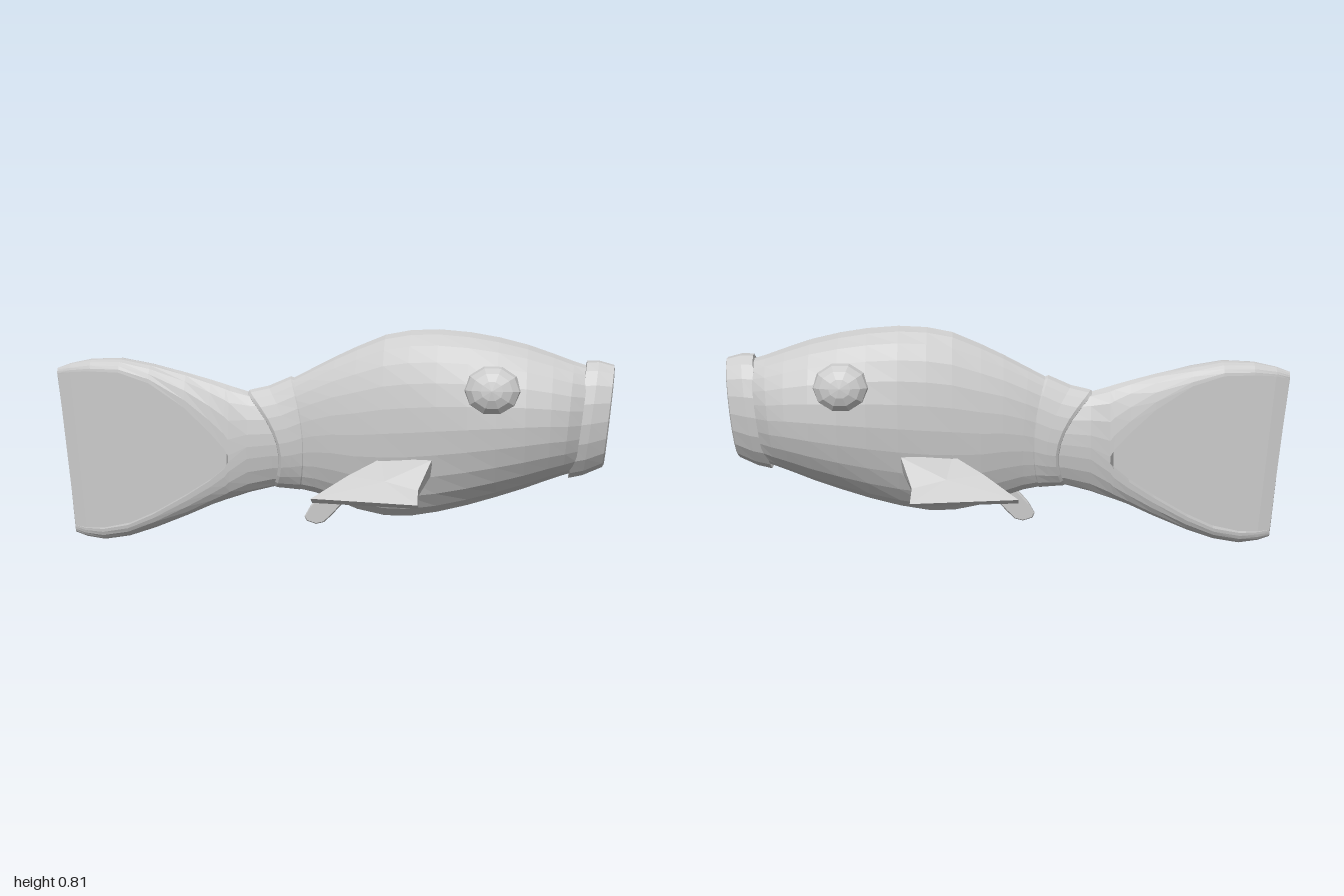
import * as THREE from 'three';

const material = new THREE.MeshStandardMaterial({ color: 0xcccccc, flatShading: true });

// Skins closed loops of [x, y, z] points and closes both ends.
function loft(name, loops) {
  const n = loops[0].length, pos = [], idx = [];
  loops.forEach((loop) => loop.forEach((p) => pos.push(...p)));
  for (let i = 0; i < loops.length - 1; i++) {
    for (let j = 0; j < n; j++) {
      const a = i * n + j, b = i * n + (j + 1) % n;
      idx.push(a, a + n, b, b, a + n, b + n);
    }
  }
  [0, loops.length - 1].forEach((row, end) => {
    const c = pos.length / 3;
    for (let k = 0; k < 3; k++) pos.push(loops[row].reduce((s, p) => s + p[k], 0) / n);
    for (let j = 0; j < n; j++) {
      const a = row * n + j, b = row * n + (j + 1) % n;
      idx.push(c, end ? b : a, end ? a : b);
    }
  });
  const geo = new THREE.BufferGeometry();
  geo.setAttribute('position', new THREE.Float32BufferAttribute(pos, 3));
  geo.setIndex(idx);
  geo.computeVertexNormals();
  const mesh = new THREE.Mesh(geo, material);
  mesh.name = name;
  return mesh;
}

// Upright oval between a top and a bottom point; bow pushes its sides forward.
function oval([xt, yt, xb, yb, w, bow = 0], sides = 24) {
  return Array.from({ length: sides }, (_, j) => {
    const a = (j / sides) * Math.PI * 2, s = Math.sin(a), c = Math.cos(a);
    return [(xt + xb) / 2 + s * (xt - xb) / 2 + bow * c * c, (yt + yb) / 2 + s * (yt - yb) / 2, w * c];
  });
}

// Linear lookup in rows of [key, value].
function lookup(rows, k) {
  if (k <= rows[0][0]) return rows[0][1];
  for (let i = 1; i < rows.length; i++) {
    const [k0, v0] = rows[i - 1], [k1, v1] = rows[i];
    if (k <= k1) return v0 + (v1 - v0) * (k - k0) / (k1 - k0);
  }
  return rows[rows.length - 1][1];
}

// Tail: stout rim around a thin sunken panel on each side, concave rear edge.
function makeTail() {
  const rearEdge = [[0.03, 0.05], [0.2, 0.065], [0.35, 0.07], [0.5, 0.05], [0.62, 0]];
  // x, top, panel top, panel bottom, bottom, half thickness, panel half thickness
  const rows = [
    [-1, 0.638, 0.615, 0.05, 0.022, 0.012, 0.011],
    [-0.95, 0.657, 0.627, 0.045, 0.008, 0.025, 0.018],
    [-0.87, 0.675, 0.635, 0.048, 0, 0.043, 0.02],
    [-0.76, 0.68, 0.635, 0.07, 0.018, 0.056, 0.02],
    [-0.65, 0.662, 0.6, 0.115, 0.052, 0.06, 0.02],
    [-0.52, 0.632, 0.515, 0.188, 0.105, 0.063, 0.02],
    [-0.43, 0.608, 0.43, 0.248, 0.147, 0.065, 0.02],
    [-0.375, 0.592, 0.37, 0.295, 0.168, 0.068, 0.02],
    [-0.36, 0.587, 0.345, 0.32, 0.173, 0.07, 0.07],
    [-0.29, 0.567, 0.38, 0.38, 0.198, 0.077, 0.077],
    [-0.2, 0.56, 0.39, 0.39, 0.222, 0.074, 0.074],
    [-0.13, 0.56, 0.39, 0.39, 0.23, 0.066, 0.066],
  ];
  const steps = [0, 0.06, 0.22, 0.48, 0.76, 1];
  return loft('tail', rows.map(([x, top, pt, pb, bottom, h, web]) => {
    const arm = (from, to) => steps.map((f) => [from + (to - from) * f, h * Math.sqrt(1 - (1 - f) ** 2)]);
    const side = [...arm(bottom, pb), [pb, web], [pt, web], ...arm(top, pt).reverse()];
    const other = side.slice(1, -1).reverse().map(([y, z]) => [y, -z]);
    const weight = Math.max(0, (-0.6 - x) / 0.4);
    return [...side, ...other].map(([y, z]) => [x + weight * lookup(rearEdge, y), y, z]);
  }));
}

// Slab fin reaching out and down from the flank.
function makeSideFin(name, sign) {
  const upper = [[0.38, 0.375, 0.175], [0.34, 0.285, 0.255], [0.345, 0.248, 0.315],
    [-0.03, 0.248, 0.272], [0.09, 0.315, 0.19], [0.2, 0.365, 0.12]];
  const lower = [[0.38, 0.32, 0.14], [0.335, 0.25, 0.225], [0.345, 0.225, 0.272],
    [-0.03, 0.225, 0.238], [0.09, 0.27, 0.165], [0.2, 0.31, 0.09]];
  const flip = (pts) => pts.map(([x, y, z]) => [x, y, z * sign]);
  return loft(name, sign > 0 ? [flip(lower), flip(upper)] : [flip(upper), flip(lower)]);
}

export function createModel() {
  const fish = new THREE.Group();
  fish.name = 'fish';

  // Body: top x, top y, bottom x, bottom y, half width
  fish.add(loft('body', [
    [-0.15, 0.612, -0.11, 0.215, 0.073, 0.02], [-0.07, 0.655, -0.05, 0.203, 0.087, 0.01],
    [0.02, 0.703, 0.02, 0.178, 0.103], [0.1, 0.742, 0.1, 0.147, 0.12],
    [0.2, 0.785, 0.2, 0.127, 0.14], [0.29, 0.803, 0.29, 0.128, 0.158],
    [0.39, 0.808, 0.39, 0.147, 0.178], [0.5, 0.8, 0.5, 0.178, 0.194],
    [0.6, 0.784, 0.6, 0.212, 0.201], [0.7, 0.76, 0.7, 0.248, 0.194],
    [0.79, 0.73, 0.78, 0.28, 0.172], [0.86, 0.705, 0.83, 0.298, 0.148],
    [0.91, 0.69, 0.87, 0.31, 0.115],
  ].map((r) => oval(r))));

  // Band joining body and tail
  fish.add(loft('neckBand', [
    [-0.3, 0.565, -0.205, 0.225, 0.076, 0.07], [-0.29, 0.575, -0.195, 0.218, 0.083, 0.07],
    [-0.22, 0.592, -0.16, 0.216, 0.083, 0.055], [-0.14, 0.628, -0.11, 0.212, 0.081, 0.035],
    [-0.125, 0.622, -0.1, 0.218, 0.074, 0.03],
  ].map((r) => oval(r))));

  fish.add(makeTail());

  // Lips: outer collar, rim, then the sunken mouth
  fish.add(loft('mouth', [
    [0.9, 0.69, 0.86, 0.31, 0.095], [0.905, 0.708, 0.85, 0.288, 0.11],
    [0.945, 0.71, 0.9, 0.3, 0.11], [0.998, 0.696, 0.965, 0.33, 0.094],
    [1, 0.688, 0.972, 0.338, 0.085], [1, 0.675, 0.974, 0.365, 0.072],
    [0.96, 0.655, 0.93, 0.388, 0.056],
  ].map((r) => oval(r, 18))));

  // Mirrored eyes and side fins
  for (const [side, sign] of [['left', 1], ['right', -1]]) {
    const eye = new THREE.Mesh(new THREE.SphereGeometry(0.1, 10, 8).rotateX(Math.PI / 2), material);
    eye.name = side === 'left' ? 'frontEye' : 'backEye';
    eye.scale.set(1, 0.88, 0.65);
    eye.position.set(0.585, 0.622, sign * 0.16);
    eye.rotation.x = -sign * 0.15;
    fish.add(eye, makeSideFin(side === 'left' ? 'frontFin' : 'backFin', sign));
  }

  // Small belly fin
  const outline = new THREE.Shape([[0.07, 0.21], [0.05, 0.17], [0.01, 0.125], [-0.02, 0.095], [-0.05, 0.087],
    [-0.085, 0.098], [-0.092, 0.115], [-0.07, 0.155], [-0.04, 0.19], [-0.01, 0.22]].map((p) => new THREE.Vector2(...p)).reverse());
  const bellyFin = new THREE.Mesh(new THREE.ExtrudeGeometry(outline, {
    depth: 0.014, bevelThickness: 0.005, bevelSize: 0.004, bevelOffset: -0.004, bevelSegments: 1,
  }).translate(0, 0, -0.007), material);
  bellyFin.name = 'bellyFin';
  fish.add(bellyFin);

  return fish;
}
